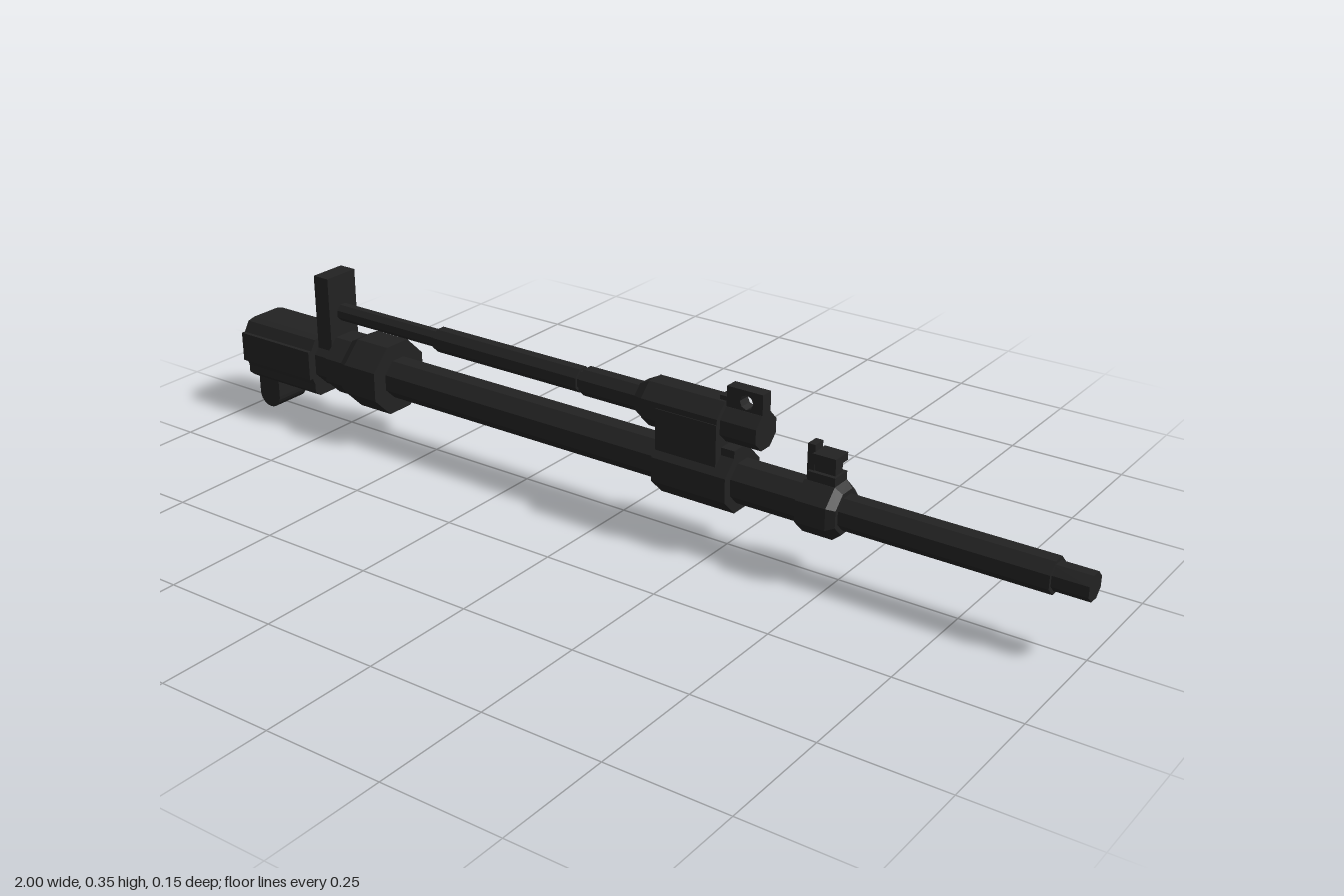
import * as THREE from 'three';

const AXIS = 0.146;   // height of the main tube axis
const ROD = 0.262;    // height of the upper rod axis

export function createModel() {
  const model = new THREE.Group();
  const darkSteel = new THREE.MeshStandardMaterial({ color: 0x222222, flatShading: true });
  darkSteel.name = 'darkSteel';

  const add = (name, geometry) => {
    const mesh = new THREE.Mesh(geometry, darkSteel);
    mesh.name = name;
    model.add(mesh);
    return mesh;
  };

  // Octagonal bar along x; r0 and r1 are distances to the flats at each end
  const bar = (name, x0, x1, y, r0, r1 = r0) => {
    const k = 1 / Math.cos(Math.PI / 8);
    const g = new THREE.CylinderGeometry(r1 * k, r0 * k, x1 - x0, 8, 1, false, Math.PI / 8);
    g.rotateZ(-Math.PI / 2);
    g.translate((x0 + x1) / 2, y, 0);
    return add(name, g);
  };

  const box = (name, x0, x1, y0, y1, halfZ, z = 0) => {
    const g = new THREE.BoxGeometry(x1 - x0, y1 - y0, halfZ * 2);
    g.translate((x0 + x1) / 2, (y0 + y1) / 2, z);
    return add(name, g);
  };

  // Symmetric z-y profile (right half, top to bottom) extruded along x
  const profile = (name, x0, x1, half, holeR = 0) => {
    const pts = [...half, ...half.map(([z, y]) => [-z, y]).reverse()];
    const shape = new THREE.Shape(pts.map(([z, y]) => new THREE.Vector2(z, y)));
    if (holeR) shape.holes.push(new THREE.Path().absarc(0, AXIS, holeR, 0, Math.PI * 2, true));
    const g = new THREE.ExtrudeGeometry(shape, { depth: x1 - x0, bevelEnabled: false, curveSegments: 4 });
    g.rotateY(Math.PI / 2);
    g.translate(x0, 0, 0);
    return add(name, g);
  };

  // x-y outline extruded across z
  const sidePlate = (name, shape, halfZ, curveSegments = 6) => {
    const g = new THREE.ExtrudeGeometry(shape, { depth: halfZ * 2, bevelEnabled: false, curveSegments });
    g.translate(0, 0, -halfZ);
    return add(name, g);
  };

  // Rear block with side rails and an open socket
  profile('rearBlock', -1, -0.795, [
    [0.035, 0.206], [0.052, 0.202], [0.066, 0.18], [0.075, 0.18], [0.075, 0.115],
    [0.066, 0.115], [0.06, 0.1], [0.06, 0.082], [0.046, 0.07],
  ], 0.042);
  bar('socketFloor', -0.95, -0.8, AXIS, 0.041);

  // Rounded lug below the rear block
  const lug = new THREE.Shape();
  lug.moveTo(-0.99, 0.08);
  lug.lineTo(-0.99, 0.03);
  lug.absarc(-0.96, 0.03, 0.03, Math.PI, Math.PI * 2, false);
  lug.lineTo(-0.93, 0.08);
  sidePlate('lowerLug', lug, 0.042);

  // Stepped neck and collar
  bar('neck', -0.8, -0.75, AXIS, 0.055);
  bar('neckStep', -0.755, -0.7, AXIS, 0.064);
  bar('rearCollar', -0.705, -0.685, AXIS, 0.068, 0.077);
  bar('rearCollar', -0.685, -0.6, AXIS, 0.077);

  // Upright rod support
  box('rodSupport', -0.795, -0.755, 0.13, 0.348, 0.042);

  // Main tube, stepping down to the tip
  bar('mainTube', -0.62, 0.5, AXIS, 0.042);
  bar('frontTube', 0.49, 0.93, AXIS, 0.033);
  bar('tubeTip', 0.92, 1, AXIS, 0.026);

  // Upper rod
  bar('rodRear', -0.81, -0.47, ROD, 0.018);
  bar('rodMiddle', -0.475, -0.1, ROD, 0.025);
  bar('rodJoint', -0.1, -0.09, ROD, 0.02);
  bar('rodFront', -0.09, 0.07, ROD, 0.028);

  // Clamp and upper housing
  bar('clamp', 0.11, 0.28, AXIS, 0.061);
  profile('clampBridge', 0.11, 0.25, [[0.049, 0.27], [0.049, 0.15]]);
  bar('housingTaper', 0.05, 0.075, ROD, 0.034, 0.046);
  bar('housing', 0.075, 0.25, ROD, 0.047);
  box('clampStep', 0.24, 0.28, 0.19, 0.218, 0.03);
  bar('housingNose', 0.24, 0.33, ROD, 0.036);

  // Pierced ear over the housing nose
  const ear = new THREE.Shape();
  ear.moveTo(0.25, 0.25);
  ear.lineTo(0.33, 0.25);
  ear.lineTo(0.33, 0.34);
  ear.lineTo(0.25, 0.34);
  ear.lineTo(0.25, 0.318);
  ear.lineTo(0.235, 0.318);
  ear.lineTo(0.235, 0.25);
  ear.holes.push(new THREE.Path().absarc(0.294, 0.316, 0.015, 0, Math.PI * 2, true));
  sidePlate('piercedEar', ear, 0.014, 4);

  // Front collar and its small upright bracket
  bar('frontCollar', 0.43, 0.495, AXIS, 0.054);
  bar('frontCollarChamfer', 0.495, 0.51, AXIS, 0.054, 0.042);
  box('bracketBase', 0.435, 0.495, 0.19, 0.218, 0.022);
  box('bracketStem', 0.44, 0.49, 0.21, 0.252, 0.013);
  box('bracketTop', 0.445, 0.495, 0.24, 0.256, 0.022);
  box('bracketPost', 0.43, 0.446, 0.2, 0.27, 0.014);

  return model;
}
